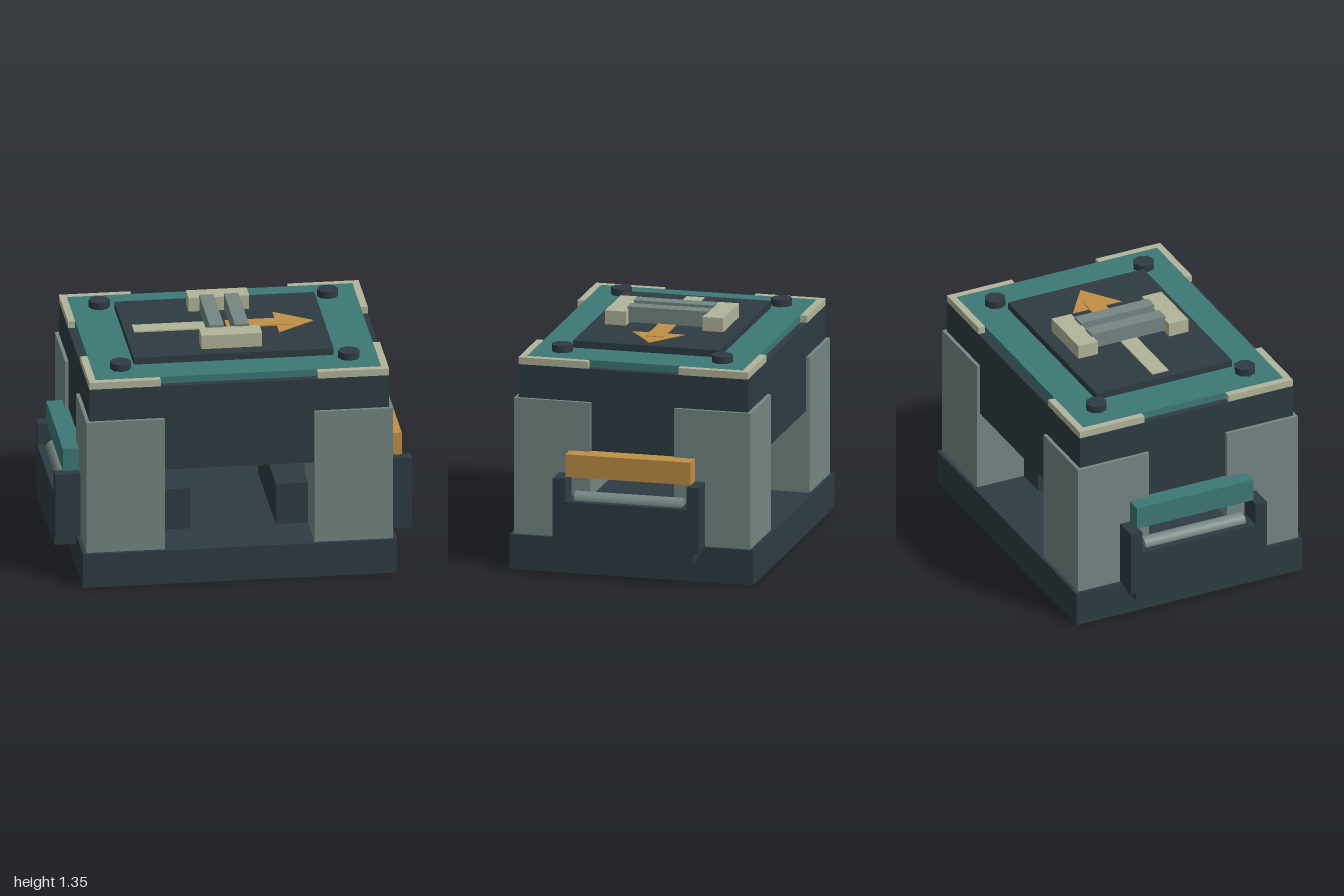
import * as THREE from 'three';

const mat = (name, color) => {
  const m = new THREE.MeshStandardMaterial({ color });
  m.name = name;
  return m;
};

export function createModel() {
  const dark = mat('dark slate', 0x2e3b42);
  const grey = mat('steel grey', 0x748683);
  const teal = mat('teal', 0x3c7876);
  const cream = mat('cream', 0xb3b49a);
  const orange = mat('orange', 0xc08f46);

  const model = new THREE.Group();
  model.name = 'crate';

  const add = (name, geometry, material) => {
    const mesh = new THREE.Mesh(geometry, material);
    mesh.name = name;
    model.add(mesh);
    return mesh;
  };
  // Box given by its limits on each axis
  const box = (name, material, [x0, x1], [y0, y1], [z0, z1]) => {
    const mesh = add(name, new THREE.BoxGeometry(Math.abs(x1 - x0), y1 - y0, Math.abs(z1 - z0)), material);
    mesh.position.set((x0 + x1) / 2, (y0 + y1) / 2, (z0 + z1) / 2);
    return mesh;
  };

  // Main stack
  box('base', dark, [-0.88, 0.88], [0, 0.2], [-0.7, 0.7]);
  box('body', dark, [-0.84, 0.84], [0.67, 1.17], [-0.66, 0.66]);
  box('lid', teal, [-0.8, 0.8], [1.17, 1.21], [-0.62, 0.62]);
  box('topPanel', dark, [-0.56, 0.56], [1.21, 1.25], [-0.42, 0.42]);

  // Four corners: pillar, L-shaped trim and bolt
  for (const sx of [-1, 1]) {
    for (const sz of [-1, 1]) {
      box('pillar', grey, [sx * 0.42, sx * 0.86], [0.2, 0.98], [sz * 0.24, sz * 0.68]);
      box('cornerTrimLong', cream, [sx * 0.44, sx * 0.84], [1.17, 1.21], [sz * 0.62, sz * 0.66]);
      box('cornerTrimShort', cream, [sx * 0.8, sx * 0.84], [1.17, 1.21], [sz * 0.26, sz * 0.62]);
      const bolt = add('bolt', new THREE.CylinderGeometry(0.06, 0.06, 0.04, 8), dark);
      bolt.position.set(sx * 0.64, 1.23, sz * 0.46);
    }
  }

  // Side brackets with a roller and a coloured grip
  for (const sx of [-1, 1]) {
    box('sideTray', dark, [sx * 0.24, sx * 1], [0.14, 0.44], [-0.39, 0.39]);
    for (const sz of [-1, 1]) {
      box('sidePost', dark, [sx * 0.86, sx * 1], [0.19, 0.57], [sz * 0.35, sz * 0.42]);
    }
    const roller = add('roller', new THREE.CylinderGeometry(0.045, 0.045, 0.62, 16), grey);
    roller.rotation.x = Math.PI / 2;
    roller.position.set(sx * 0.915, 0.44, 0);
    box('grip', sx > 0 ? orange : teal, [sx * 0.83, sx * 0.95], [0.57, 0.7], [-0.36, 0.36]);
  }

  // Top clamp: two end blocks joined by two bars
  for (const s of [-1, 1]) {
    box('clampBlock', cream, [-0.17, 0.17], [1.25, 1.33], [s * 0.22, s * 0.34]);
    box('clampBar', grey, [s * 0.03, s * 0.11], [1.256, 1.345], [-0.228, 0.228]);
  }

  // Direction marker: tail stripe, arrow shaft and thin arrow head
  box('tailStripe', cream, [-0.51, -0.01], [1.25, 1.258], [-0.05, 0.05]);
  box('arrowShaft', orange, [0.01, 0.38], [1.25, 1.258], [-0.05, 0.05]);
  const headShape = new THREE.Shape([
    new THREE.Vector2(0.29, -0.15),
    new THREE.Vector2(0.5, 0),
    new THREE.Vector2(0.29, 0.15),
  ]);
  const head = add('arrowHead', new THREE.ExtrudeGeometry(headShape, { depth: 0.004, bevelEnabled: false }), orange);
  head.rotation.x = -Math.PI / 2;
  head.position.y = 1.25;

  return model;
}
